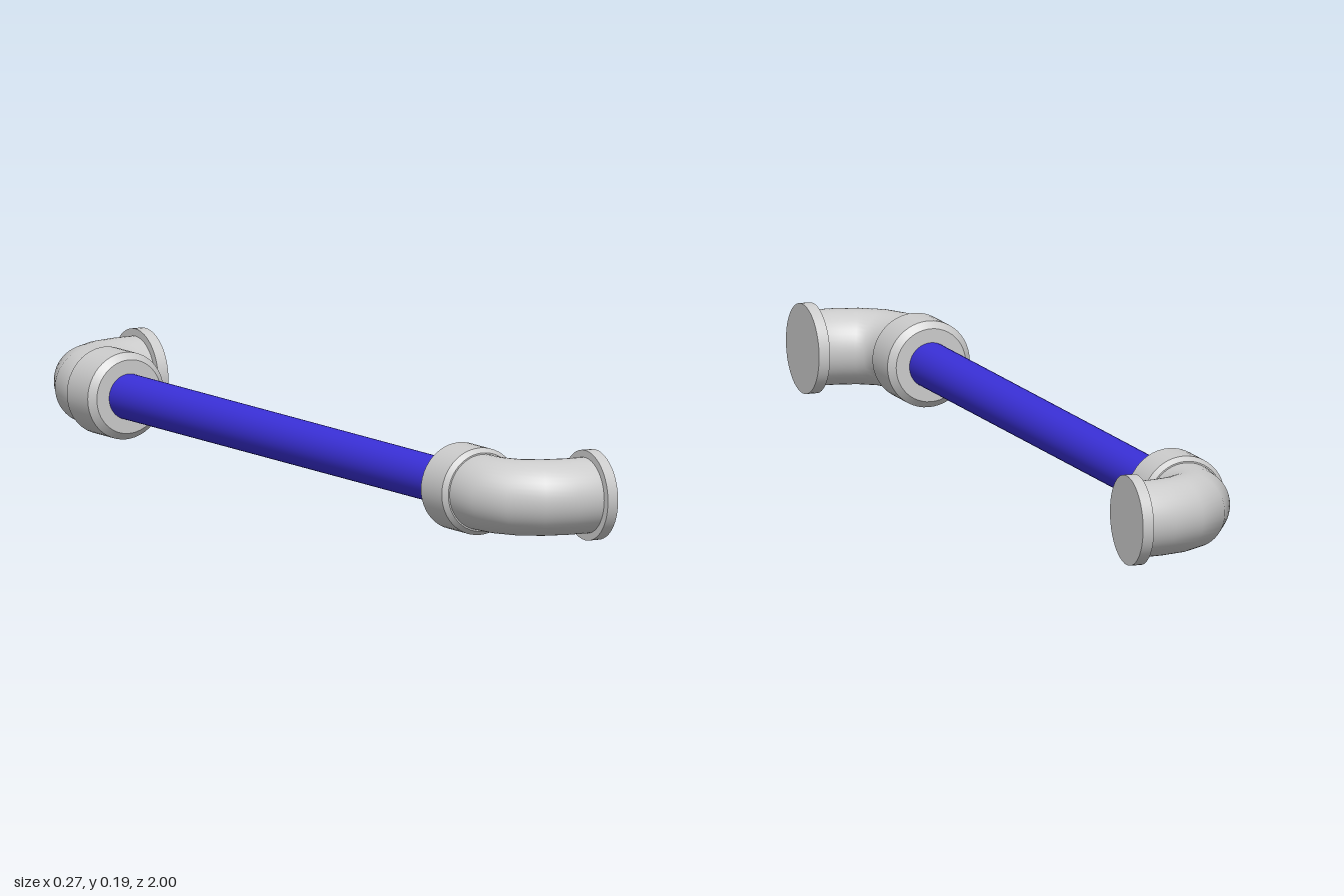
import * as THREE from 'three';

const AXIS_X = -0.047; // rod axis
const AXIS_Y = 0.093;
const SIDES = 48;

const grey = new THREE.MeshStandardMaterial({ color: 0xcccccc });
const greyOpen = new THREE.MeshStandardMaterial({ color: 0xcccccc, side: THREE.DoubleSide });
const blue = new THREE.MeshStandardMaterial({ color: 0x3a30d8 });

function addMesh(parent, name, geometry, material) {
  const mesh = new THREE.Mesh(geometry, material);
  mesh.name = name;
  parent.add(mesh);
  return mesh;
}

// Lathe along +z with hard edges: each profile segment is its own band
function addTurned(parent, name, profile) {
  const part = new THREE.Group();
  part.name = name;
  for (let i = 0; i < profile.length - 1; i++) {
    const band = profile.slice(i, i + 2).map(([r, z]) => new THREE.Vector2(r, z));
    const geometry = new THREE.LatheGeometry(band, SIDES).rotateX(Math.PI / 2);
    addMesh(part, name + 'Band', geometry, greyOpen);
  }
  parent.add(part);
  return part;
}

// One end fitting, with its origin on the rod axis at mid length
function createFitting(name) {
  const fitting = new THREE.Group();
  fitting.name = name;

  // Collar with chamfered rims around the rod
  addTurned(fitting, 'collar', [
    [0.04, 0.659], [0.076, 0.659], [0.09, 0.672], [0.09, 0.756], [0.081, 0.767], [0.07, 0.767],
  ]);

  // Short neck between collar and elbow
  const neck = new THREE.CylinderGeometry(0.078, 0.078, 0.03, SIDES, 1, true).rotateX(Math.PI / 2);
  addMesh(fitting, 'neck', neck, greyOpen).position.z = 0.757;

  // Elbow swept from the rod direction to the wall direction
  const bend = new THREE.QuadraticBezierCurve3(
    new THREE.Vector3(0, 0, 0.77),
    new THREE.Vector3(0, 0, 0.907),
    new THREE.Vector3(0.165, 0, 0.907),
  );
  addMesh(fitting, 'elbow', new THREE.TubeGeometry(bend, 5, 0.078, SIDES), greyOpen);

  // Wall flange
  const flange = new THREE.CylinderGeometry(0.093, 0.093, 0.024, SIDES).rotateZ(Math.PI / 2);
  addMesh(fitting, 'flange', flange, grey).position.set(0.172, 0, 0.907);

  return fitting;
}

export function createModel() {
  const model = new THREE.Group();
  model.name = 'grabRail';

  const rail = new THREE.Group();
  rail.name = 'rail';
  rail.position.set(AXIS_X, AXIS_Y, 0);
  model.add(rail);

  // Straight rod
  const rod = new THREE.CylinderGeometry(0.047, 0.047, 1.4, SIDES).rotateX(Math.PI / 2);
  addMesh(rail, 'rod', rod, blue);

  // Matching fittings at both ends, the rear one turned half about x
  rail.add(createFitting('frontFitting'));
  const rear = createFitting('rearFitting');
  rear.rotation.x = Math.PI;
  rail.add(rear);

  return model;
}
